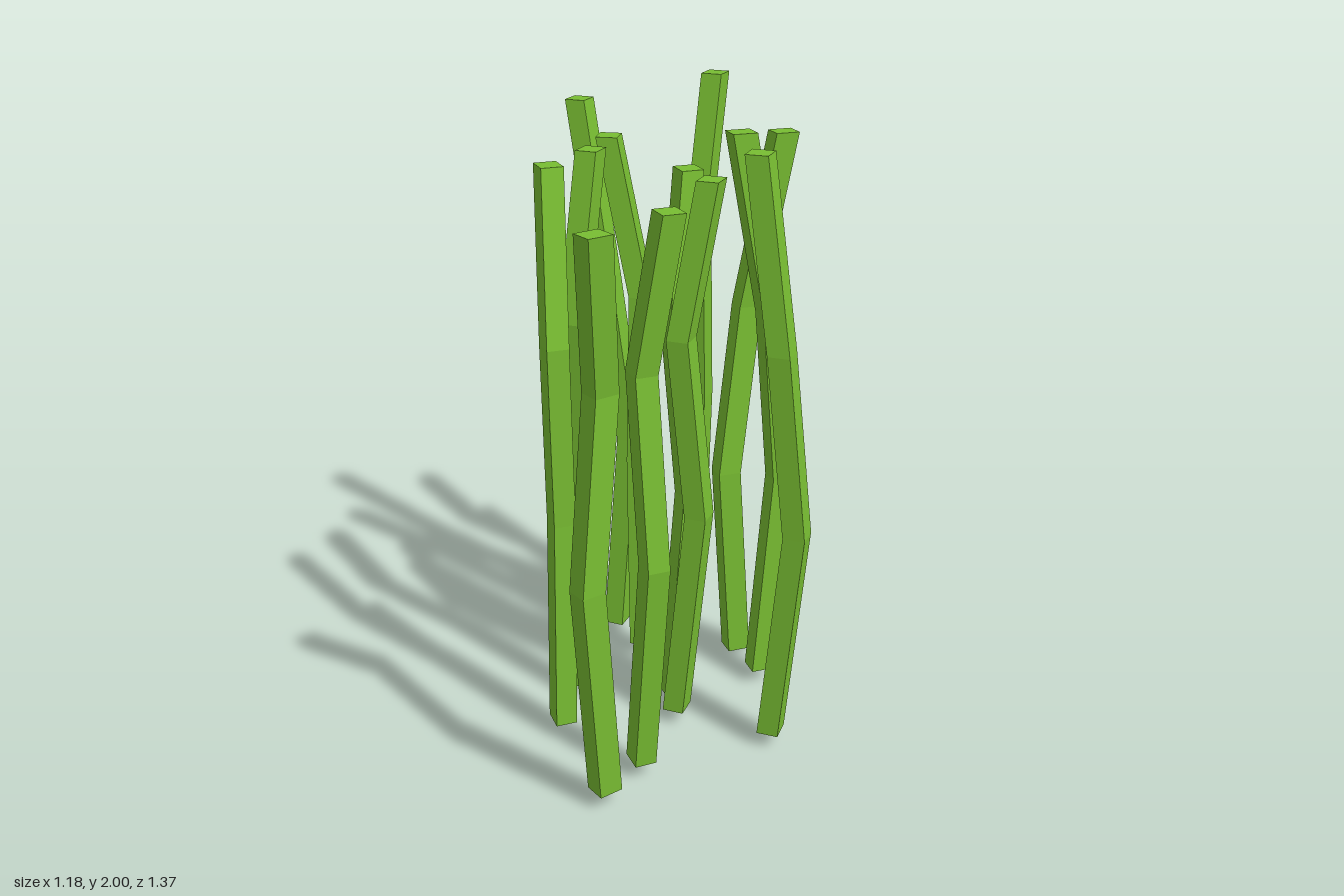
import * as THREE from 'three';

// Ring heights above the foot of a stalk, for the three lengths of stalk
const HEIGHTS = {
  short: [0, 0.71, 1.29, 1.76],
  medium: [0, 0.71, 1.29, 1.80],
  tall: [0, 0.71, 1.29, 1.86],
};

// kind, foot height, turn in degrees, then [x, z] centres from foot to tip
const STALKS = [
  ['short', 0.05, -54, [0.10, -0.03], [0.12, -0.09], [0.10, -0.03], [0.08, -0.125]],
  ['short', 0.05, -12, [0.165, 0.045], [0.225, 0.022], [0.168, 0.045], [0.212, -0.04]],
  ['short', 0.05, -56, [0.23, 0.355], [0.296, 0.385], [0.23, 0.352], [0.307, 0.335]],
  ['short', 0.05, 20, [0.223, 0.543], [0.22, 0.612], [0.223, 0.543], [0.27, 0.632]],
  ['medium', 0.20, -11, [-0.127, -0.522], [-0.119, -0.536], [-0.125, -0.52], [-0.143, -0.645]],
  ['medium', 0.05, -23, [-0.168, -0.245], [-0.182, -0.25], [-0.168, -0.245], [-0.278, -0.225]],
  ['medium', 0.05, -11, [-0.192, 0.095], [-0.186, 0.08], [-0.192, 0.095], [-0.208, -0.029]],
  ['medium', 0.05, -54, [-0.105, 0.312], [-0.107, 0.295], [-0.105, 0.312], [-0.185, 0.213]],
  ['tall', 0.00, 37, [0.093, -0.466], [0.07, -0.41], [0.09, -0.485], [0.172, -0.545]],
  ['tall', 0.045, -11, [-0.325, -0.323], [-0.307, -0.385], [-0.41, -0.395], [-0.55, -0.446]],
  ['tall', 0.05, 38, [0.27, -0.324], [0.295, -0.378], [0.273, -0.315], [0.19, -0.245]],
  ['tall', 0.05, -13, [0.488, -0.01], [0.546, -0.023], [0.484, 0], [0.378, -0.025]],
];

// A square bar in three segments, each ring shifted to its centre
function stalkGeometry(kind, foot, turn, centres) {
  const geo = new THREE.BoxGeometry(0.069, 3, 0.078, 1, 3, 1);
  geo.rotateY(-THREE.MathUtils.degToRad(turn));
  const pos = geo.attributes.position;
  for (let i = 0; i < pos.count; i++) {
    const ring = Math.round(pos.getY(i) + 1.5);
    const [cx, cz] = centres[ring];
    pos.setXYZ(i, pos.getX(i) + cx, foot + HEIGHTS[kind][ring], pos.getZ(i) + cz);
  }
  geo.computeVertexNormals();
  return geo;
}

export function createModel() {
  const group = new THREE.Group();
  group.name = 'stalkCluster';
  const green = new THREE.MeshStandardMaterial({ color: 0x78bd32, flatShading: true });
  STALKS.forEach(([kind, foot, turn, ...centres], i) => {
    const stalk = new THREE.Mesh(stalkGeometry(kind, foot, turn, centres), green);
    stalk.name = `${kind}Stalk${(i % 4) + 1}`;
    group.add(stalk);
  });
  return group;
}
